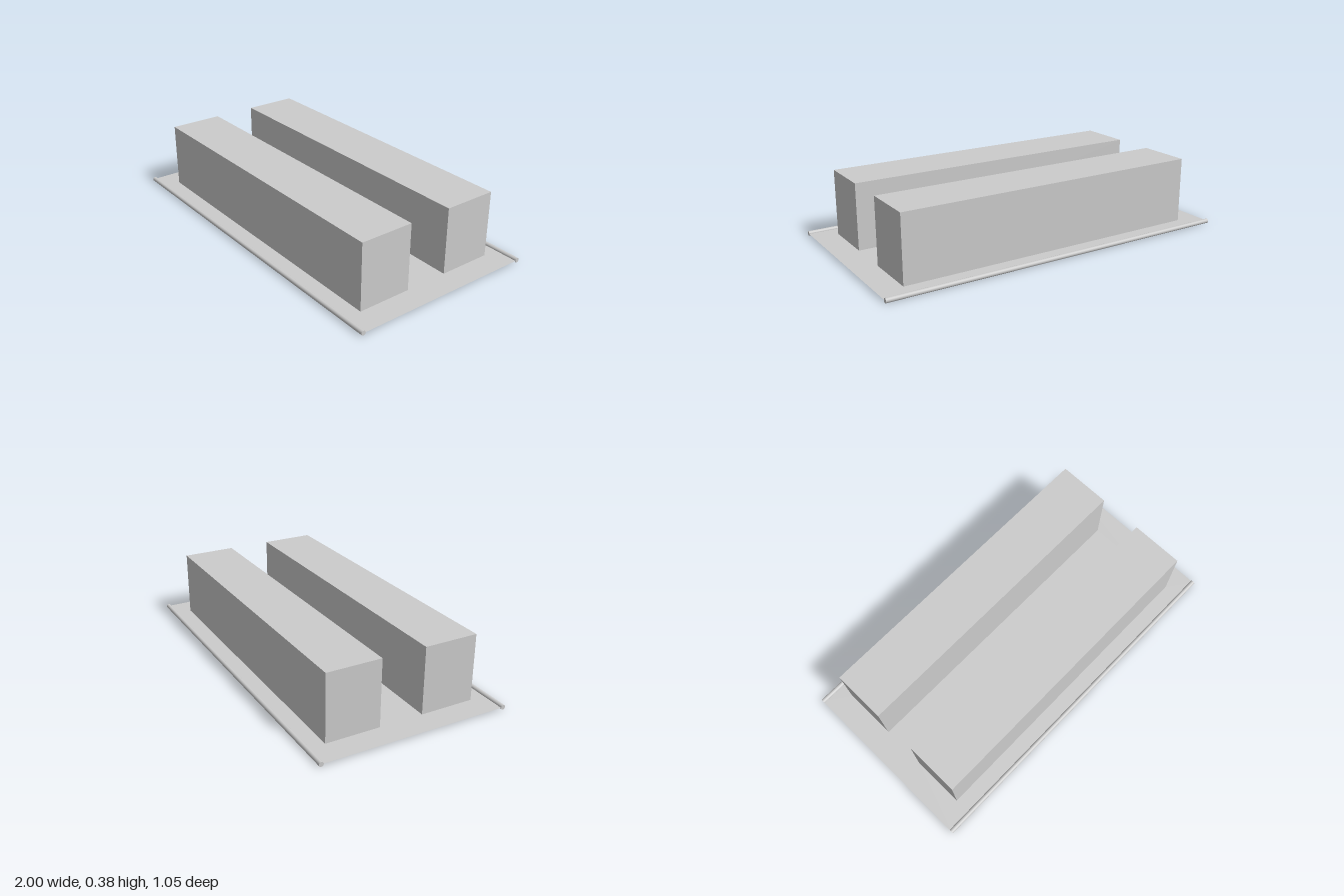
import * as THREE from 'three';

const ROD_R = 0.0125, ROD_Z = 0.512;           // edge rods; the sheet lies at rod-centre height
const LEN = 1.73, TOP = 0.377, Z_IN = 0.121, Z_OUT = 0.417;  // raised housings

const rect = (target, x0, x1, y0, y1) => {
  target.moveTo(x0, y0);
  target.lineTo(x1, y0);
  target.lineTo(x1, y1);
  target.lineTo(x0, y1);
  target.closePath();
  return target;
};

// Box without its bottom face
function openBox(w, h, d) {
  const geo = new THREE.BoxGeometry(w, h, d);
  const index = Array.from(geo.index.array);
  index.splice(18, 6);
  geo.setIndex(index);
  geo.clearGroups();
  return geo;
}

export function createModel() {
  const group = new THREE.Group();
  const solid = new THREE.MeshStandardMaterial({ color: 0xcccccc });
  const thin = new THREE.MeshStandardMaterial({ color: 0xcccccc, side: THREE.DoubleSide });
  const add = (name, geo, mat, x, y, z) => {
    const mesh = new THREE.Mesh(geo, mat);
    mesh.name = name;
    mesh.position.set(x, y, z);
    group.add(mesh);
    return mesh;
  };

  // Thin base sheet with an opening below each housing
  const outline = rect(new THREE.Shape(), -1, 1, -ROD_Z, ROD_Z);
  for (const [a, b] of [[-Z_OUT, -Z_IN], [Z_IN, Z_OUT]])
    outline.holes.push(rect(new THREE.Path(), -LEN / 2, LEN / 2, a, b));
  const sheet = new THREE.ShapeGeometry(outline).rotateX(-Math.PI / 2);
  add('baseSheet', sheet, thin, 0, ROD_R, 0);

  // Hollow housings and edge rods, mirrored front to back
  const housing = openBox(LEN, TOP - ROD_R, Z_OUT - Z_IN);
  const rod = new THREE.CylinderGeometry(ROD_R, ROD_R, 2, 24).rotateZ(Math.PI / 2);
  for (const [side, s] of [['front', 1], ['back', -1]]) {
    add(side + 'Housing', housing, thin, 0, (TOP + ROD_R) / 2, s * (Z_IN + Z_OUT) / 2);
    add(side + 'EdgeRod', rod, solid, 0, ROD_R, s * ROD_Z);
  }
  return group;
}
